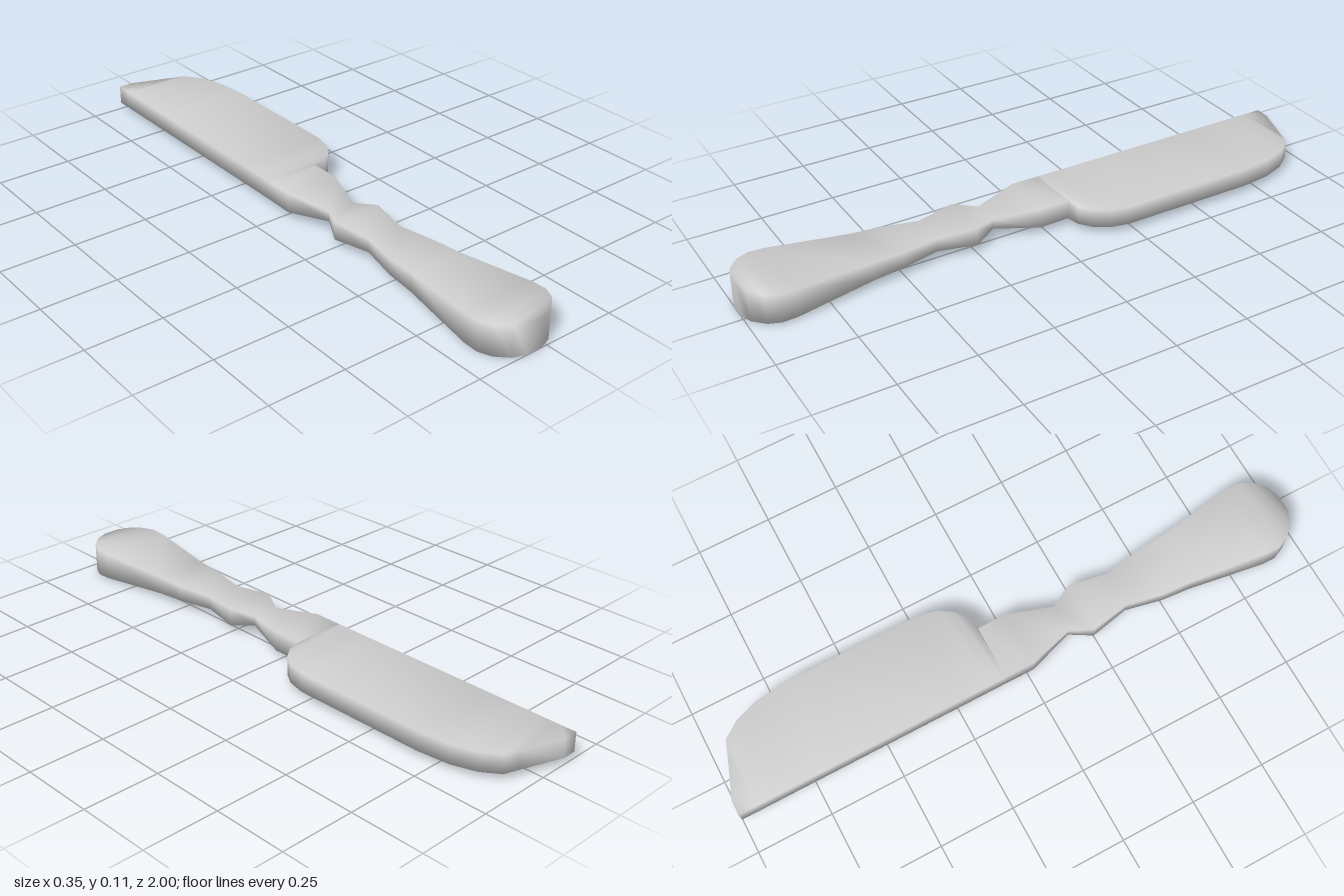
import * as THREE from 'three';

const material = new THREE.MeshStandardMaterial({ color: 0xcccccc });

// Lofts rectangular sections [z, xMin, xMax, yMin, yMax], ordered back to front.
function loft(name, sections, capBack, capFront) {
  const points = [], index = [];
  for (const [z, x0, x1, y0, y1] of sections) {
    points.push(x0, y0, z, x1, y0, z, x1, y1, z, x0, y1, z);
  }
  const last = (sections.length - 1) * 4;
  for (let s = 0; s < last; s += 4) {
    for (let k = 0; k < 4; k++) {
      const a = s + k, b = s + (k + 1) % 4;
      index.push(a, b, b + 4, a, b + 4, a + 4);
    }
  }
  if (capBack) index.push(0, 2, 1, 0, 3, 2);
  if (capFront) index.push(last, last + 1, last + 2, last, last + 2, last + 3);
  const geometry = new THREE.BufferGeometry();
  geometry.setAttribute('position', new THREE.Float32BufferAttribute(points, 3));
  geometry.setIndex(index);
  geometry.computeVertexNormals();
  const mesh = new THREE.Mesh(geometry, material);
  mesh.name = name;
  return mesh;
}

export function createModel() {
  const group = new THREE.Group();
  group.name = 'knife';

  // Blade: straight spine on the right, curved edge [z, x] on the left
  const edge = [
    [-1, -0.09], [-0.95, 0.05], [-0.935, 0.095], [-0.88, 0.135], [-0.8, 0.163],
    [-0.69, 0.175], [-0.23, 0.175], [-0.165, 0.16], [-0.12, 0.13],
    [-0.09, 0.09], [-0.08, 0.045],
  ];
  group.add(loft('blade', edge.map(([z, x]) => [z, -0.14, x, 0.023, 0.087]), true, false));

  // Handle: pinched neck, small collar, flared rounded butt
  group.add(loft('handle', [
    [-0.08, -0.14, 0.045, 0.023, 0.087],
    [0.02, -0.14, 0.045, 0.021, 0.088],
    [0.17, -0.095, 0, 0.04, 0.073],
    [0.245, -0.133, 0.037, 0.025, 0.086],
    [0.375, -0.108, 0.016, 0.033, 0.078],
    [0.5, -0.133, 0.037, 0.027, 0.081],
    [0.6, -0.14, 0.045, 0.023, 0.085],
    [0.86, -0.176, 0.08, 0.007, 0.101],
    [0.91, -0.176, 0.08, 0.005, 0.103],
    [0.95, -0.157, 0.061, 0.003, 0.105],
    [0.985, -0.118, 0.022, 0.001, 0.106],
    [1, -0.075, -0.021, 0, 0.107],
  ], false, true));

  return group;
}
